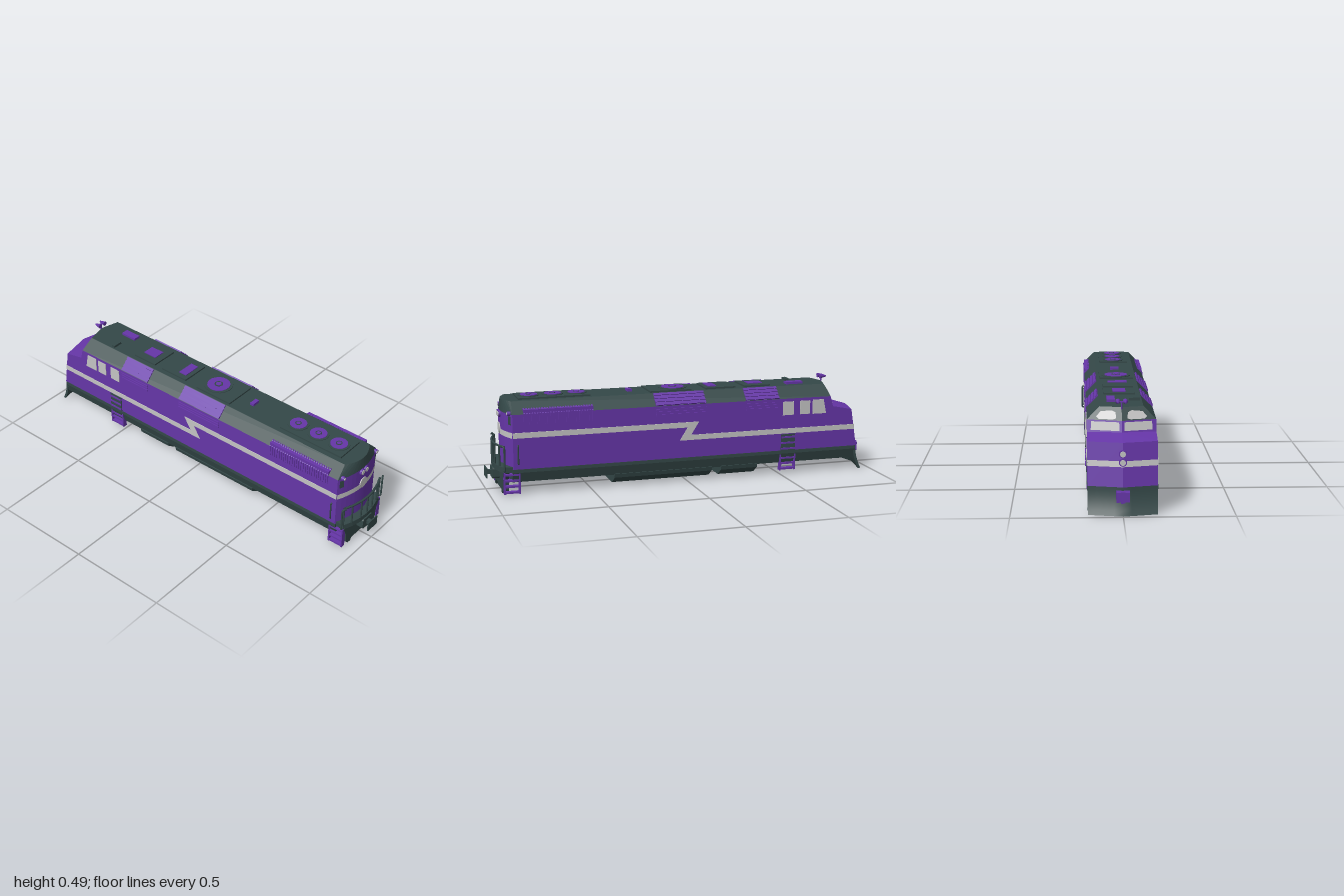
import * as THREE from 'three';
import { ConvexGeometry } from 'three/addons/geometries/ConvexGeometry.js';

const mat = (name, color) => new THREE.MeshStandardMaterial({ name, color, side: THREE.DoubleSide });

export function createModel() {
  const purple = mat('purple paint', 0x6636a8);
  const dark = mat('dark slate', 0x344848);
  const light = mat('light grey', 0xc4c4c4);
  const root = new THREE.Group();
  root.name = 'locomotive';
  const W = 0.157;

  const add = (name, geo, m, x = 0, y = 0, z = 0) => {
    const mesh = new THREE.Mesh(geo, m);
    mesh.name = name;
    mesh.position.set(x, y, z);
    root.add(mesh);
    return mesh;
  };
  const box = (name, m, w, h, d, x, y, z) => add(name, new THREE.BoxGeometry(w, h, d), m, x, y, z);
  const hull = (name, m, pts) => add(name, new ConvexGeometry(pts.map(p => new THREE.Vector3(...p))), m);
  const both = fn => [1, -1].forEach(fn);
  const shapeOf = pts => new THREE.Shape(pts.map(p => new THREE.Vector2(...p)));
  const tube = (name, m, pts, r = 0.004, tension = 0.1) => add(name, new THREE.TubeGeometry(
    new THREE.CatmullRomCurve3(pts.map(p => new THREE.Vector3(...p)), false, 'catmullrom', tension), 32, r, 6), m);
  const disc = (name, m, r, d, x, y, z, axis = 'z') => {
    const g = new THREE.CylinderGeometry(r, r, d, 24);
    if (axis === 'z') g.rotateX(Math.PI / 2);
    return add(name, g, m, x, y, z);
  };
  // Thin plate on a side wall, drawn in (z, y)
  const sidePlate = (name, m, pts, depth = 0.006) => both(s => {
    const g = new THREE.ExtrudeGeometry(shapeOf(pts), { depth, bevelEnabled: false });
    g.translate(0, 0, -depth / 2).rotateY(-Math.PI / 2);
    add(name, g, m, s * W);
  });
  const rect = (z0, z1, y0, y1) => [[z0, y0], [z1, y0], [z1, y1], [z0, y1]];

  // Bowed rear end and V-shaped cab-end surfaces
  const rear = x => 0.922 - 0.037 * (x / W) ** 2;
  const vFace = (c, a, b, y0) => (x, y) => c + a * Math.abs(x) + b * (y - y0);
  const noseFace = vFace(-0.96, 0.223, 0.154, 0.125);
  const cabFace = vFace(-0.83, 0.255, 0.27, 0.34);
  const roofFace = vFace(-0.815, 0.255, 0.545, 0.395);
  const facePlate = (name, m, face, pts) => both(s => {
    const g = new THREE.ShapeGeometry(shapeOf(pts.map(p => [p[0] * s, p[1]])));
    const p = g.attributes.position;
    for (let i = 0; i < p.count; i++) p.setZ(i, face(p.getX(i), p.getY(i)) - 0.003);
    // Outward direction is -z
    const k = g.index.array;
    for (let i = 0; i < k.length; i += 3) [k[i], k[i + 1]] = [k[i + 1], k[i]];
    g.computeVertexNormals();
    add(name, g, m);
  });
  const rearPlate = (name, m, x0, x1, y0, y1, off = 0.003) => {
    const g = new THREE.PlaneGeometry(x1 - x0, y1 - y0, 12, 1);
    g.translate((x0 + x1) / 2, (y0 + y1) / 2, 0);
    const p = g.attributes.position;
    for (let i = 0; i < p.count; i++) p.setZ(i, rear(p.getX(i)) + off);
    g.computeVertexNormals();
    add(name, g, m);
  };
  const rearPts = (w, y, dz = 0) => Array.from({ length: 13 }, (_, i) => {
    const t = i / 6 - 1;
    return [t * w, y, rear(t * W) + dz];
  });
  const facePts = (face, w, y) => [-w, 0, w].map(x => [x, y, face(x, y)]);

  // Car body, roof and nose
  hull('body', purple, [...rearPts(W, 0.12), ...rearPts(W, 0.395),
    ...[-W, 0, W].map(x => [x, 0.12, cabFace(x, 0.34)]), ...facePts(cabFace, W, 0.34), ...facePts(cabFace, W, 0.395)]);
  hull('roof', dark, [...rearPts(W, 0.395), ...rearPts(0.1, 0.452, -0.005),
    ...facePts(roofFace, W, 0.395), ...facePts(roofFace, 0.1, 0.452)]);
  hull('nose', purple, [...facePts(noseFace, W, 0.125), ...facePts(noseFace, W, 0.32),
    [-W, 0.125, -0.75], [W, 0.125, -0.75], [-W, 0.345, -0.77], [W, 0.345, -0.77], [0, 0.345, -0.83]]);

  // Underframe, tanks
  hull('sill', dark, [0.125, 0.108, 0.06].flatMap((y, i) => {
    const w = [0.159, 0.159, 0.145][i];
    return [[-w, y, 0.89], [w, y, 0.89], [-w, y, -0.92], [w, y, -0.92], [0, y, -0.955]];
  }));
  [[0.38, -0.13], [-0.18, -0.375]].forEach(([a, b]) => hull('fuelTank', dark,
    [a, b].flatMap(z => [-1, 1].flatMap(s => [[s * 0.153, 0.065, z], [s * 0.148, 0.045, z], [s * 0.095, 0.01, z]]))));

  // Plow blade, swept forward at the bottom
  const plow = new THREE.BoxGeometry(0.312, 0.128, 0.014, 8, 6, 1);
  plow.translate(0, 0.064, 0);
  const pp = plow.attributes.position;
  for (let i = 0; i < pp.count; i++) {
    const x = pp.getX(i), y = pp.getY(i);
    pp.setZ(i, pp.getZ(i) - 0.95 + 0.22 * Math.abs(x) - 0.033 * (1 - y / 0.128) ** 2);
  }
  plow.computeVertexNormals();
  add('plow', plow, dark);
  box('noseCoupler', purple, 0.06, 0.045, 0.04, 0, 0.087, -0.972);
  box('noseCouplerHead', purple, 0.02, 0.05, 0.008, 0, 0.087, -0.996);

  // Side stripe with lightning step
  sidePlate('sideStripe', light, [[0.885, 0.306], [-0.058, 0.306], [-0.016, 0.24], [-0.907, 0.24], [-0.911, 0.214],
    [0.043, 0.214], [0.002, 0.279], [0.885, 0.279]]);
  facePlate('noseStripe', light, noseFace, [[0, 0.214], [W, 0.214], [W, 0.24], [0, 0.24]]);
  rearPlate('rearStripe', light, -W, W, 0.279, 0.307);

  // Windows
  sidePlate('sideWindow', light, rect(-0.57, -0.51, 0.31, 0.38));
  sidePlate('sideWindow', light, rect(-0.66, -0.605, 0.31, 0.38));
  sidePlate('sideWindow', light, [[-0.675, 0.308], [-0.75, 0.308], [-0.735, 0.382], [-0.675, 0.382]]);
  facePlate('windshield', light, cabFace, [[0.012, 0.351], [0.14, 0.351], [0.137, 0.389], [0.012, 0.389]]);
  facePlate('upperBoard', light, roofFace, [[0.025, 0.405], [0.04, 0.4], [0.105, 0.4], [0.115, 0.41],
    [0.095, 0.432], [0.045, 0.438], [0.028, 0.43]]);

  // Nose headlights
  [0.235, 0.272].forEach(y => {
    disc('noseLightHousing', purple, 0.018, 0.016, 0, y, noseFace(0, y) - 0.001);
    disc('noseLight', light, 0.013, 0.004, 0, y, noseFace(0, y) - 0.01);
  });

  // Rear door, emblem disc, lights and boards
  rearPlate('rearDoor', purple, -0.046, 0.046, 0.13, 0.36, 0.002);
  disc('rearDisc', light, 0.028, 0.006, 0, 0.307, 0.925);
  both(s => {
    disc('rearLightHousing', purple, 0.0165, 0.012, s * 0.0155, 0.378, 0.924);
    disc('rearLight', light, 0.012, 0.004, s * 0.0155, 0.378, 0.931);
    disc('markerHousing', purple, 0.011, 0.016, s * 0.132, 0.398, 0.898);
    disc('markerLight', light, 0.007, 0.004, s * 0.132, 0.398, 0.907);
    rearPlate('rearBoard', dark, s * 0.138 - 0.011, s * 0.138 + 0.011, 0.344, 0.386);
  });

  // Rear platform, end plate and coupler
  const deck = x => 0.965 - 0.035 * (x / 0.15) ** 2;
  hull('rearPlatform', dark, [0.11, 0.137].flatMap(y => [-0.15, -0.1, -0.05, 0, 0.05, 0.1, 0.15]
    .flatMap(x => [[x, y, deck(x)], [x, y, 0.86]])));
  const endPlate = new THREE.ExtrudeGeometry(shapeOf([[-0.15, 0.112], [-0.128, 0.07], [-0.122, 0.015], [-0.108, 0],
    [-0.085, 0], [-0.075, 0.025], [0.075, 0.025], [0.085, 0], [0.108, 0], [0.122, 0.015], [0.128, 0.07], [0.15, 0.112]]),
    { depth: 0.03, bevelEnabled: false });
  add('endPlate', endPlate, dark, 0, 0, 0.905);
  box('endPlateSkirt', dark, 0.15, 0.026, 0.02, 0, 0.014, 0.917);
  const c = new THREE.Shape();
  c.moveTo(-0.04, 0.07).quadraticCurveTo(-0.04, 0.058, -0.025, 0.058).lineTo(0.025, 0.058)
    .quadraticCurveTo(0.04, 0.058, 0.04, 0.07).lineTo(0.04, 0.102).quadraticCurveTo(0.04, 0.115, 0.025, 0.115)
    .lineTo(-0.025, 0.115).quadraticCurveTo(-0.04, 0.115, -0.04, 0.102);
  add('couplerPocket', new THREE.ExtrudeGeometry(c, { depth: 0.04, bevelEnabled: false }), dark, 0, 0, 0.93);
  box('couplerShank', dark, 0.02, 0.02, 0.03, 0, 0.087, 0.98);
  box('couplerHead', dark, 0.075, 0.05, 0.006, 0, 0.087, 0.997);

  // Railing and grab loops
  const railX = [-0.148, -0.103, -0.046, 0, 0.046, 0.103, 0.148];
  tube('railTop', dark, railX.map(x => [x, 0.238, deck(x) - 0.004]), 0.006);
  railX.forEach(x => tube('railPost', dark, [[x, 0.13, deck(x) - 0.004], [x, 0.238, deck(x) - 0.004]], 0.005));
  both(s => {
    tube('grabLoop', dark, [[0.155, 0.122, 0.93], [0.167, 0.125, 0.93], [0.168, 0.235, 0.93], [0.162, 0.245, 0.935],
      [0.15, 0.243, 0.94]].map(p => [p[0] * s, p[1], p[2]]), 0.005);
    tube('sideGrab', dark, [[0.157, 0.15, 0.86], [0.165, 0.155, 0.862], [0.165, 0.24, 0.862], [0.157, 0.245, 0.86]]
      .map(p => [p[0] * s, p[1], p[2]]), 0.004);
  });

  // Ladders at the rear corners and below the cab doors
  sidePlate('stepRecess', dark, rect(-0.58, -0.502, 0.122, 0.21));
  both(s => {
    [[0.893, 0.003, 0.112, 0.074], [-0.54, 0.02, 0.125, 0.08]].forEach(([z, y0, y1, w]) => {
      [-1, 1].forEach(e => box('ladderSide', purple, 0.024, y1 - y0, 0.007, s * 0.146, (y0 + y1) / 2, z + e * w / 2));
      for (let i = 0; i < 4; i++)
        box('ladderRung', purple, 0.026, 0.009, w, s * 0.145, y0 + 0.008 + i * (y1 - y0 - 0.012) / 3.3, z);
    });
    [0.135, 0.165, 0.195].forEach(y => box('cabStep', purple, 0.01, 0.009, 0.076, s * 0.159, y, -0.541));
  });

  // Louvers on roof slopes and upper walls
  both(s => {
    [[0.035, 0.262], [-0.4, 0.18]].forEach(([z, len]) => {
      for (let i = -1; i < 4; i++) {
        const t = i < 0 ? 0.5 : (i + 0.5) / 4;
        const m = box('roofLouver', purple, i < 0 ? 0.076 : 0.013, i < 0 ? 0.006 : 0.014, len,
          s * (W - 0.057 * t), 0.395 + 0.057 * t, z);
        m.rotation.z = -s * Math.PI / 4;
      }
      for (let i = 0; i < 3; i++) box('wallLouver', purple, 0.01, 0.009, len, s * W, 0.35 + i * 0.0135, z);
    });
    // Radiator fins
    const fin = shapeOf([[0.12, 0.345], [0.161, 0.345], [0.161, 0.398], [0.138, 0.421], [0.12, 0.421]].map(p => [p[0] * s, p[1]]));
    for (let i = 0; i < 27; i++)
      add('radiatorFin', new THREE.ExtrudeGeometry(fin, { depth: 0.007, bevelEnabled: false }), purple, 0, 0, 0.485 + i * 0.013);
    box('radiatorBack', purple, 0.02, 0.07, 0.345, s * 0.1475, 0.382, 0.658);
  });

  // Roof hatches, fans and boxes
  [[0.48, 0.84, 0.075], [-0.04, 0.175, 0.085], [-0.28, -0.12, 0.075], [-0.47, -0.33, 0.075]].forEach(([a, b, w]) =>
    box('roofHatch', dark, w * 2, 0.012, b - a, 0, 0.454, (a + b) / 2));
  [[0.535, 0.053], [0.655, 0.053], [0.775, 0.053], [0.035, 0.073]].forEach(([z, r]) => {
    disc('fanRim', dark, r, 0.01, 0, 0.458, z, 'y');
    disc('fan', purple, r * 0.8, 0.004, 0, 0.4635, z, 'y');
    disc('fanGroove', dark, r * 0.3, 0.002, 0, 0.4655, z, 'y');
    disc('fanHub', purple, r * 0.2, 0.003, 0, 0.466, z, 'y');
  });
  box('roofBox', purple, 0.045, 0.016, 0.022, 0, 0.457, 0.265);
  box('roofBox', purple, 0.095, 0.01, 0.045, 0, 0.459, -0.165);
  box('roofBox', purple, 0.062, 0.01, 0.077, 0, 0.459, -0.405);
  box('roofBox', purple, 0.038, 0.014, 0.09, 0.045, 0.457, -0.61);
  box('roofVent', dark, 0.05, 0.014, 0.02, -0.065, 0.457, -0.61);

  // Twin horn
  box('hornBracket', purple, 0.03, 0.006, 0.01, 0, 0.477, -0.785);
  disc('hornPost', purple, 0.004, 0.04, 0, 0.46, -0.785, 'y');
  both(s => {
    const g = new THREE.CylinderGeometry(0.004, 0.012, 0.035, 12).rotateX(-Math.PI / 2);
    add('horn', g, purple, s * 0.017, 0.477, -0.79);
  });
  return root;
}
